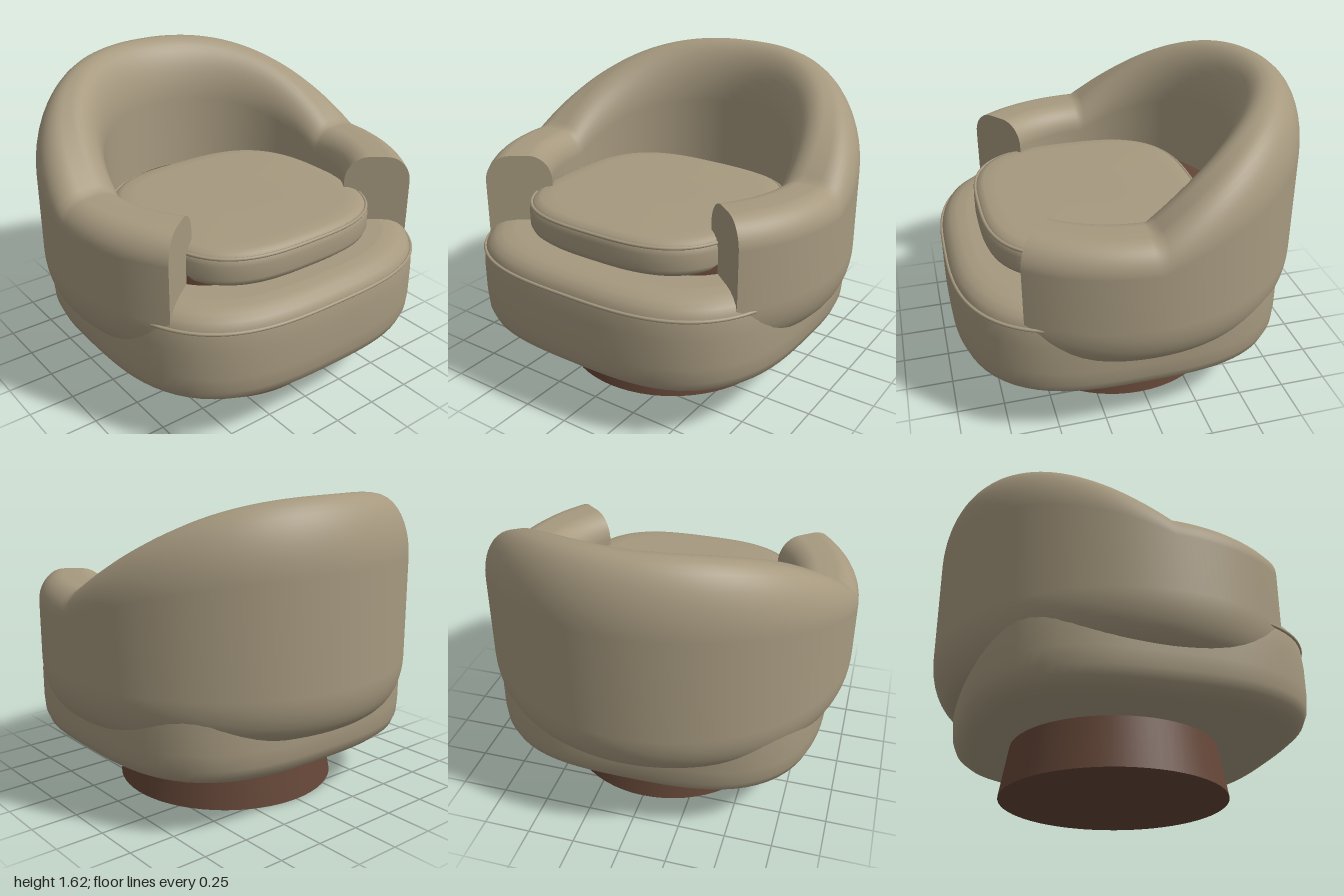
import * as THREE from 'three';

const upholstery = new THREE.MeshStandardMaterial({ name: 'taupe upholstery', color: 0xa6997f });
const wood = new THREE.MeshStandardMaterial({ name: 'brown wood', color: 0x644637 });

// Skin closed rings of points in sequence, with flat crisp caps on both ends
function loft(rings) {
  const m = rings[0].length, pos = [], idx = [];
  rings.forEach(ring => ring.forEach(p => pos.push(p.x, p.y, p.z)));
  for (let i = 0; i < rings.length - 1; i++) {
    for (let j = 0; j < m; j++) {
      const k = (j + 1) % m;
      const a = i * m + j, b = i * m + k, c = a + m, d = b + m;
      idx.push(a, c, b, b, c, d);
    }
  }
  [rings[0], rings[rings.length - 1]].forEach((ring, end) => {
    const start = pos.length / 3;
    const centre = new THREE.Vector3();
    ring.forEach(p => { centre.addScaledVector(p, 1 / m); pos.push(p.x, p.y, p.z); });
    pos.push(centre.x, centre.y, centre.z);
    for (let j = 0; j < m; j++) {
      const a = start + j, b = start + (j + 1) % m;
      idx.push(start + m, end ? b : a, end ? a : b);
    }
  });
  const g = new THREE.BufferGeometry();
  g.setAttribute('position', new THREE.Float32BufferAttribute(pos, 3));
  g.setIndex(idx);
  g.computeVertexNormals();
  return g;
}

// Rounded-square outline at height y, with half sizes a (x) and b (z)
function outline(a, b, n, zc, y, count = 96) {
  return Array.from({ length: count }, (_, i) => {
    const t = (i / count) * Math.PI * 2, c = Math.cos(t), s = Math.sin(t);
    const r = (Math.abs(c / a) ** n + Math.abs(s / b) ** n) ** (-1 / n);
    return new THREE.Vector3(r * c, y, zc + r * s);
  });
}

// Stack of outlines following a profile of [inset, y]
const pad = (a, b, n, zc, profile) =>
  loft(profile.map(([inset, y]) => outline(a - inset, b - inset, n, zc, y)));

const piping = (a, b, n, zc, y) => new THREE.TubeGeometry(
  new THREE.CatmullRomCurve3(outline(a, b, n, zc, y, 64), true), 128, 0.009, 8, true);

// Wraparound back and arms: a rounded section swept round a circle, rising to the back
function shellGeometry() {
  const inner = 0.645, outer = 1, bottom = 0.47, zc = 0.04, rings = [];
  for (let deg = -38; deg <= 218; deg += 2) {
    const phi = THREE.MathUtils.degToRad(deg);
    const rise = 1 - (1 - Math.max(0, Math.sin(phi))) ** 1.35;
    const top = 1.16 + 0.465 * rise;
    const rx = 0.13 + 0.04 * rise, ry = 0.14 + 0.2 * rise;
    // corner centres, radii and start angle, counterclockwise
    const corners = [
      [outer - 0.14, bottom + 0.25, 0.14, 0.25, -90],
      [outer - rx, top - ry, rx, ry, 0],
      [inner + rx, top - ry, rx, ry, 90],
      [inner + 0.1, bottom + 0.1, 0.1, 0.1, 180],
    ];
    const ring = [];
    for (const [cr, cy, ax, ay, from] of corners) {
      for (let i = 0; i <= 10; i++) {
        const t = THREE.MathUtils.degToRad(from + i * 9);
        const r = cr + ax * Math.cos(t);
        ring.push(new THREE.Vector3(r * Math.cos(phi), cy + ay * Math.sin(t), zc - r * Math.sin(phi)));
      }
    }
    rings.push(ring);
  }
  return loft(rings);
}

export function createModel() {
  const model = new THREE.Group();
  model.name = 'swivelArmchair';
  const add = (name, geometry, material) => {
    const mesh = new THREE.Mesh(geometry, material);
    mesh.name = name;
    model.add(mesh);
    return mesh;
  };

  // Tapered plinth
  add('plinth', new THREE.CylinderGeometry(0.55, 0.6, 0.28, 64), wood).position.set(0, 0.14, 0.02);

  // Upholstered seat base with piping
  add('seatBase', pad(0.905, 0.89, 3, 0.07, [
    [0.13, 0.27], [0.1, 0.273], [0.06, 0.29], [0.025, 0.32], [0.006, 0.37], [0, 0.45], [0, 0.6],
    [0.006, 0.68], [0.015, 0.715], [0.03, 0.745], [0.06, 0.77], [0.1, 0.785], [0.15, 0.79],
  ]), upholstery);
  add('seatBasePiping', piping(0.897, 0.882, 3, 0.07, 0.7), upholstery);

  // Brown deck under the cushion
  add('seatDeck', pad(0.655, 0.64, 4, 0, [[0, 0.74], [0, 0.86], [0.015, 0.88]]), wood);

  // Loose cushion with piping
  add('cushion', pad(0.625, 0.605, 3, 0.155, [
    [0.06, 0.79], [0.03, 0.797], [0.01, 0.815], [0, 0.84], [0, 0.915], [0.008, 0.945],
    [0.025, 0.967], [0.055, 0.981], [0.12, 0.986], [0.4, 0.99],
  ]), upholstery);
  add('cushionPiping', piping(0.615, 0.595, 3, 0.155, 0.951), upholstery);

  // Curved back and arms
  add('backAndArms', shellGeometry(), upholstery);

  return model;
}
